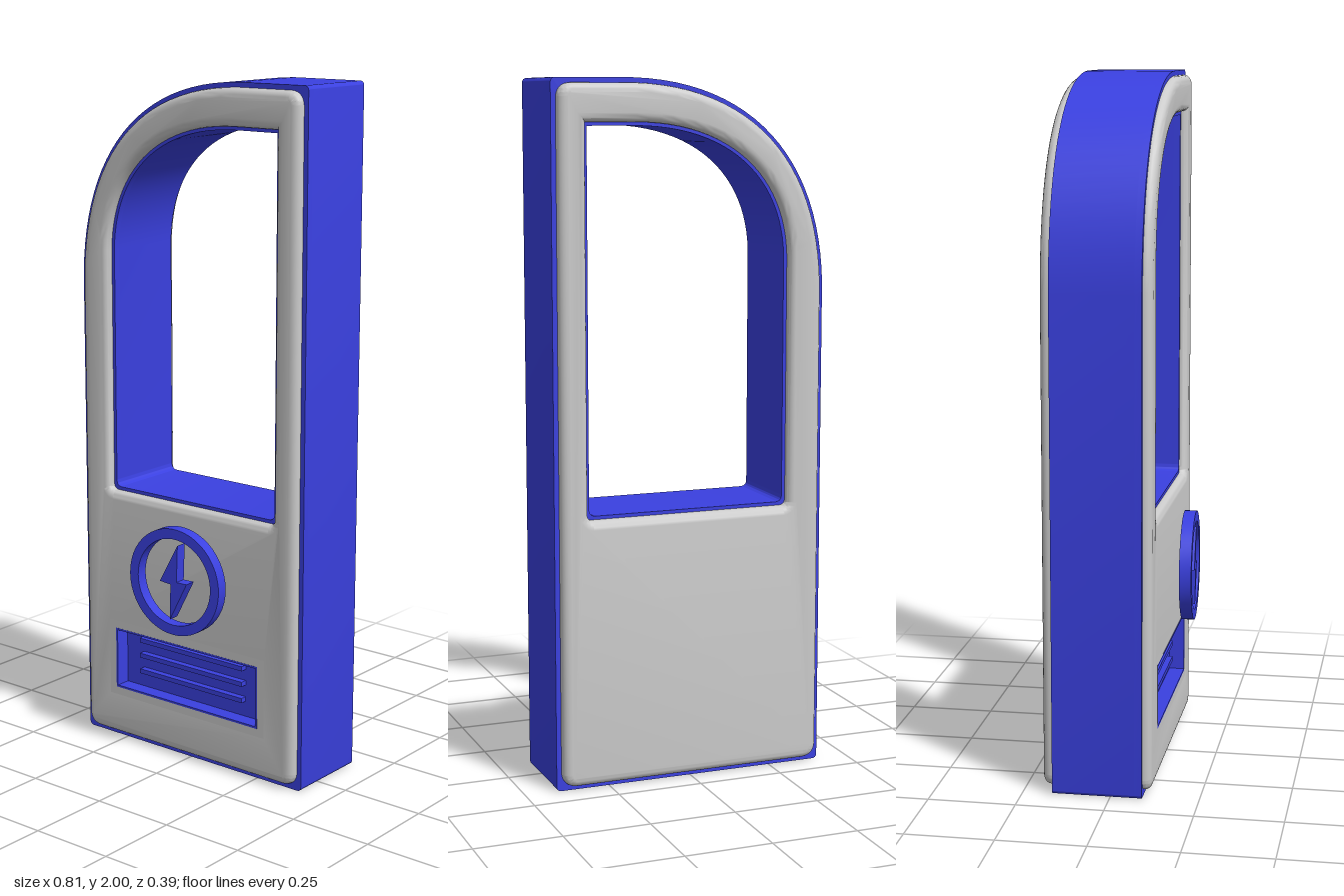
import * as THREE from 'three';
import { toCreasedNormals } from 'three/addons/utils/BufferGeometryUtils.js';

const grey = new THREE.MeshStandardMaterial({ color: 0xcccccc });
const blue = new THREE.MeshStandardMaterial({ color: 0x3a40e0 });

// Body silhouette with one swept shoulder; i moves it inwards
function outline(path, i, r) {
  const x = 0.407 - i, b = i, t = 2 - i;
  path.moveTo(-x + r, b);
  path.lineTo(x - r, b);
  path.quadraticCurveTo(x, b, x, b + r);
  path.lineTo(x, t - r);
  path.quadraticCurveTo(x, t, x - r, t);
  path.lineTo(0.17, t);
  path.bezierCurveTo(-0.18 + i * 0.4, t - 0.01, -x + 0.01, 1.78 - i * 0.4, -x, 1.42);
  path.lineTo(-x, b + r);
  path.quadraticCurveTo(-x, b, -x + r, b);
  return path;
}

// Window opening; g moves it outwards
function windowHole(g) {
  const l = -0.285 - g, rt = 0.305 + g, b = 0.79 - g, t = 1.87 + g, r = 0.02;
  const path = new THREE.Path();
  path.moveTo(l + r, b);
  path.lineTo(rt - r, b);
  path.quadraticCurveTo(rt, b, rt, b + r);
  path.lineTo(rt, t);
  path.lineTo(0.17, t);
  path.bezierCurveTo(-0.12 - g * 0.4, t, l + 0.005, 1.72 + g * 0.4, l, 1.5);
  path.lineTo(l, b + r);
  path.quadraticCurveTo(l, b, l + r, b);
  return path;
}

// Vent recess rectangle; g moves it outwards
function ventRect(path, g) {
  const l = -0.272 - g, r = 0.265 + g, b = 0.165 - g, t = 0.352 + g;
  path.moveTo(l, b);
  path.lineTo(r, b);
  path.lineTo(r, t);
  path.lineTo(l, t);
  path.closePath();
  return path;
}

function extrude(name, shape, holes, z0, z1, material, bevel = 0) {
  shape.holes.push(...holes);
  const thick = bevel * 0.85;
  const geo = new THREE.ExtrudeGeometry(shape, {
    depth: z1 - z0 - 2 * thick, curveSegments: 24,
    bevelEnabled: bevel > 0, bevelSize: bevel, bevelOffset: -bevel,
    bevelThickness: thick, bevelSegments: 5,
  });
  geo.translate(0, 0, z0 + thick);
  const mesh = new THREE.Mesh(toCreasedNormals(geo, 0.6), material);
  mesh.name = name;
  return mesh;
}

export function createModel() {
  const model = new THREE.Group();
  model.name = 'chargingStation';
  const FLOOR = 0.07, FRONT = 0.09, FACE = 0.115;
  const vent = (g) => ventRect(new THREE.Path(), g);
  const body = (i, r) => outline(new THREE.Shape(), i, r);

  // Blue core, with the vent recess cut in its front layer
  model.add(
    extrude('core', body(0, 0.015), [windowHole(0)], -0.165, FLOOR, blue),
    extrude('coreFront', body(0, 0.015), [windowHole(0), vent(0)], FLOOR, FRONT, blue),
  );

  // Soft-edged grey cover plates
  model.add(
    extrude('frontPlate', body(0.014, 0.045), [windowHole(0.01), vent(0)], 0.05, FACE, grey, 0.025),
    extrude('backPlate', body(0.014, 0.045), [windowHole(0.01)], -0.195, -0.125, grey, 0.025),
    extrude('ventSurround', ventRect(new THREE.Shape(), 0.025), [vent(0)], FRONT, FACE, grey),
    extrude('ventLiner', ventRect(new THREE.Shape(), 0.001), [vent(-0.005)], FLOOR - 0.002, FACE + 0.0005, blue),
  );

  // Vent slats
  for (const y of [0.322, 0.274, 0.224]) {
    const slat = new THREE.Mesh(new THREE.BoxGeometry(0.39, 0.014, 0.024), blue);
    slat.name = 'ventSlat';
    slat.position.set(-0.005, y, FLOOR + 0.008);
    model.add(slat);
  }

  // Slightly turned badge: ring around a bolt
  const badge = new THREE.Group();
  badge.name = 'badge';
  const ring = new THREE.Shape().absarc(0, 0, 0.16, 0, Math.PI * 2);
  const ringHole = new THREE.Path().absarc(0, 0, 0.13, 0, Math.PI * 2, true);
  const bolt = new THREE.Shape([
    [0.014, 0.113], [-0.05, -0.004], [-0.012, -0.008],
    [-0.014, -0.115], [0.046, 0.002], [0.01, 0.002],
  ].map(([x, y]) => new THREE.Vector2(x, y)));
  badge.add(
    extrude('badgeRing', ring, [ringHole], -0.0175, 0.0175, blue),
    extrude('boltSymbol', bolt, [], -0.0175, 0.0175, blue),
  );
  badge.position.set(0.012, 0.572, 0.166);
  badge.rotation.y = 0.05;
  model.add(badge);

  return model;
}
